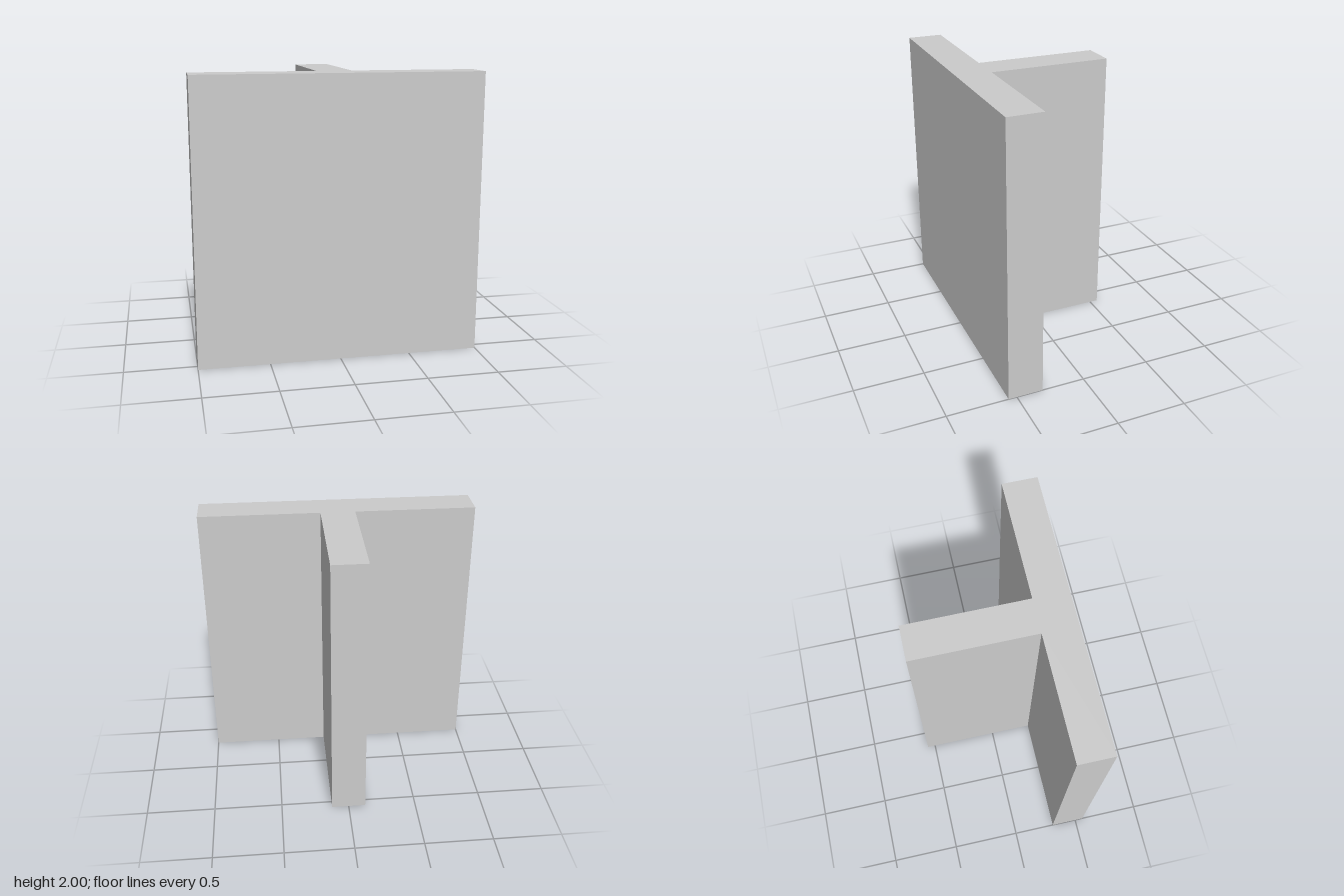
import * as THREE from 'three';

export function createModel() {
  const group = new THREE.Group();
  group.name = 'teeBeam';

  const height = 2;
  const halfWidth = 1;      // front plate
  const halfStem = 0.125;   // rear web
  const halfDepth = 0.56;
  const plateBack = 0.31;   // z of the plate's rear face

  // T-shaped plan, drawn with shape y = -z
  const plan = new THREE.Shape([
    [-halfWidth, -halfDepth],
    [halfWidth, -halfDepth],
    [halfWidth, -plateBack],
    [halfStem, -plateBack],
    [halfStem, halfDepth],
    [-halfStem, halfDepth],
    [-halfStem, -plateBack],
    [-halfWidth, -plateBack],
  ].map(([x, y]) => new THREE.Vector2(x, y)));

  // Extrude the plan and stand it upright on the ground
  const geometry = new THREE.ExtrudeGeometry(plan, { depth: height, bevelEnabled: false });
  geometry.rotateX(-Math.PI / 2);

  const beam = new THREE.Mesh(geometry, new THREE.MeshStandardMaterial({ color: 0xcccccc }));
  beam.name = 'plateAndWeb';
  group.add(beam);
  return group;
}
